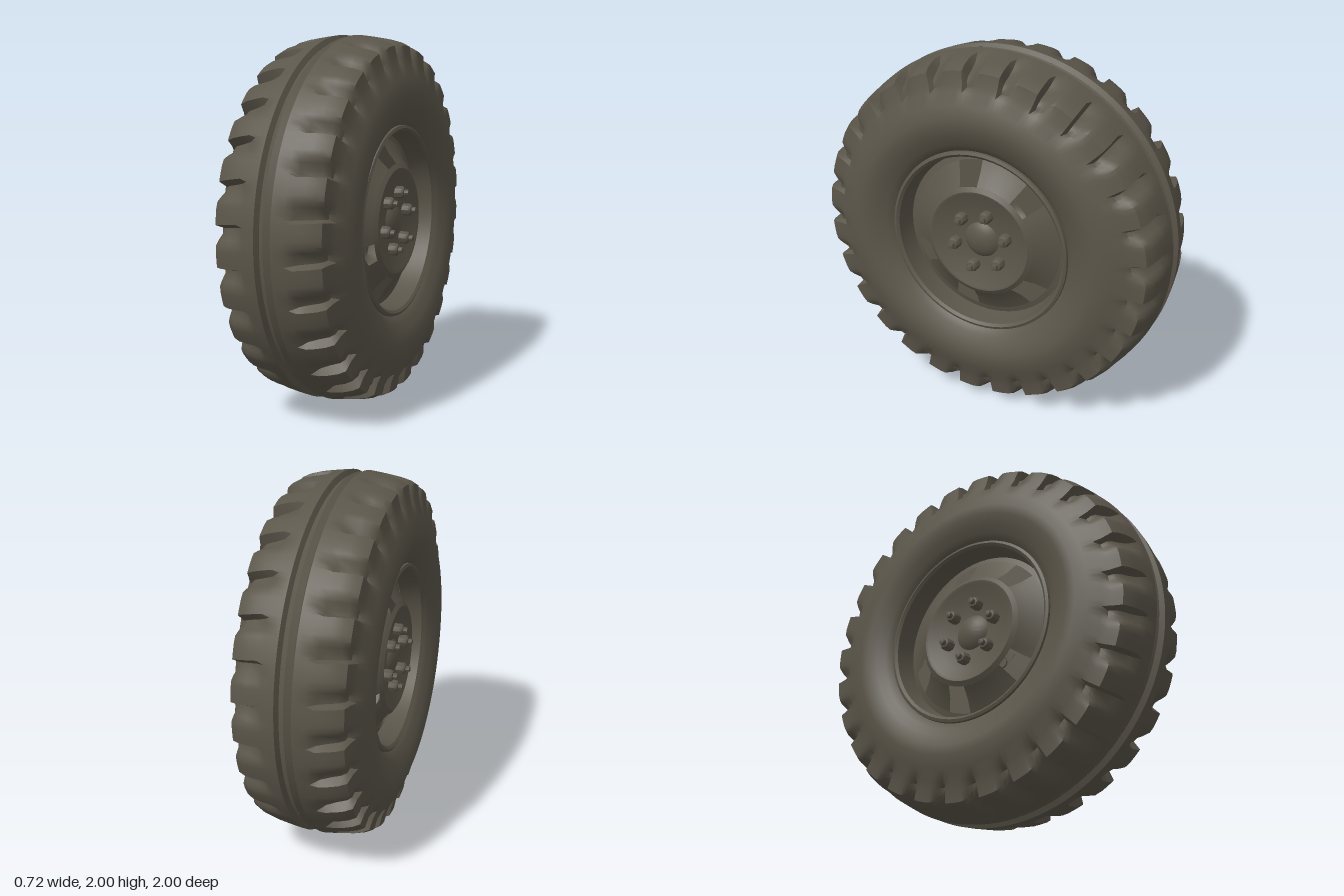
import * as THREE from 'three';
import { toCreasedNormals } from 'three/addons/utils/BufferGeometryUtils.js';

const rubberGrey = new THREE.MeshStandardMaterial({ color: 0x5b564a, side: THREE.DoubleSide });
const LUGS = 28;

function mesh(name, geometry) {
  const m = new THREE.Mesh(geometry, rubberGrey);
  m.name = name;
  return m;
}

// Revolve [radius, x] points around the x axle; profiles run from the outside to the centre
function revolve(points, segments = 48, start = 0, length = Math.PI * 2) {
  const g = new THREE.LatheGeometry(points.map(([r, x]) => new THREE.Vector2(r, x)), segments, start, length);
  return toCreasedNormals(g.rotateZ(-Math.PI / 2), 0.7);
}

// One half of the tyre: a cross-section swept around the axle, sunk between the lugs
function tyreHalf() {
  // x, radius, groove drop in radius, groove drop in x
  const section = [
    [0, 0.99, 0, 0], [0.03, 0.972, 0, 0], [0.045, 1, 0, 0], [0.11, 0.992, 0, 0],
    [0.15, 0.986, 0.035, 0], [0.2, 0.978, 0.05, 0], [0.25, 0.965, 0.055, 0],
    [0.288, 0.945, 0.055, 0.015], [0.298, 0.885, 0.025, 0.02], [0.312, 0.84, 0, 0],
    [0.337, 0.775, 0, 0], [0.359, 0.71, 0, 0], [0.356, 0.66, 0, 0], [0.338, 0.605, 0, 0],
    [0.315, 0.562, 0, 0], [0.298, 0.532, 0, 0], [0.27, 0.51, 0, 0],
  ];
  // Angular steps inside one lug pitch: flat lug, steep wall, floor, long soft wall
  const steps = [[0, 0.06], [0.15, 0], [0.35, 0], [0.53, 0], [0.61, 1], [0.74, 0.9], [0.88, 0.4]];
  const cols = LUGS * steps.length;
  const position = [], index = [];
  for (const [x, r, dr, dx] of section) {
    const skew = 0.1 * Math.max(0, Math.min(x, 0.3) - 0.1);
    for (let j = 0; j < cols; j++) {
      const [t, sink] = steps[j % steps.length];
      const a = ((Math.floor(j / steps.length) + t) / LUGS) * Math.PI * 2 + skew;
      const rr = r - dr * sink;
      position.push(x - dx * sink, rr * Math.sin(a), rr * Math.cos(a));
    }
  }
  for (let i = 0; i < section.length - 1; i++) {
    for (let j = 0; j < cols; j++) {
      const k = (j + 1) % cols;
      const a = i * cols + j, b = a + cols, c = i * cols + k, d = c + cols;
      index.push(a, b, c, c, b, d);
    }
  }
  const g = new THREE.BufferGeometry();
  g.setAttribute('position', new THREE.Float32BufferAttribute(position, 3));
  g.setIndex(index);
  return toCreasedNormals(g, 0.85);
}

function wheelSide() {
  const side = new THREE.Group();
  side.name = 'wheelSide';
  side.add(mesh('tyreHalf', tyreHalf()));

  // Rim lip and barrel, down to the foot of the hub cone
  side.add(mesh('rim', revolve([
    [0.525, 0.27], [0.52, 0.298], [0.505, 0.304], [0.49, 0.292], [0.482, 0.23], [0.472, 0.18], [0.44, 0.19],
  ], 64)));

  // Hub cone, left open at the windows, with a flat plate behind
  const windows = [46, 102, 204, 254, 317];
  const half = 9.5;
  windows.forEach((angle, i) => {
    const from = angle + half;
    const to = windows[(i + 1) % windows.length] - half + (i === windows.length - 1 ? 360 : 0);
    side.add(mesh('hubSpoke', revolve([[0.44, 0.19], [0.375, 0.225], [0.315, 0.272]],
      Math.ceil((to - from) / 6), THREE.MathUtils.degToRad(from + 180), THREE.MathUtils.degToRad(to - from))));
  });
  side.add(mesh('windowPlate', revolve([[0.46, 0.178], [0.28, 0.178]])));

  // Dished hub face with a low centre dome
  side.add(mesh('hubFace', revolve([
    [0.315, 0.272], [0.29, 0.288], [0.275, 0.285], [0.22, 0.257], [0.1, 0.247],
    [0.085, 0.26], [0.06, 0.272], [0.03, 0.28], [0, 0.282],
  ])));

  // Wheel nuts with stud ends
  for (let i = 0; i < 6; i++) {
    const a = THREE.MathUtils.degToRad(15 + 60 * i);
    const nut = mesh('wheelNut', revolve([
      [0.034, 0.24], [0.034, 0.29], [0.026, 0.301], [0.017, 0.303], [0.016, 0.325], [0, 0.33],
    ], 8));
    nut.position.set(0, 0.157 * Math.sin(a), -0.157 * Math.cos(a));
    side.add(nut);
  }
  return side;
}

export function createModel() {
  const model = new THREE.Group();
  model.name = 'wheel';
  // Two identical sides, turned back to back
  for (const turn of [0, Math.PI]) {
    const side = wheelSide();
    side.rotation.y = turn;
    side.position.y = 1;
    model.add(side);
  }
  return model;
}
